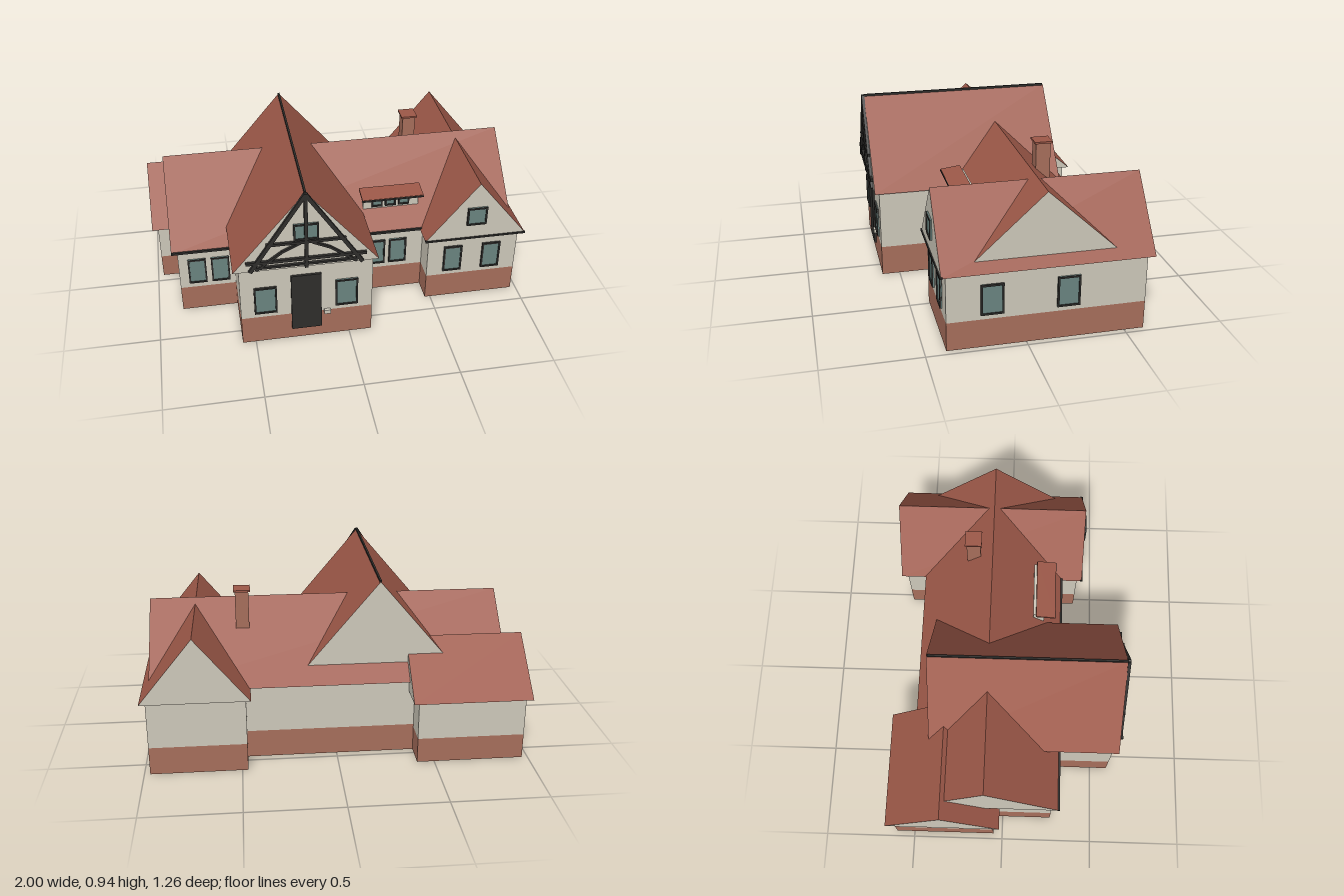
import * as THREE from 'three';

const mat = (color, extra = {}) => new THREE.MeshStandardMaterial({ color, ...extra });
const plaster = mat(0xcdc8ba);
const brick = mat(0xa66e5b);
const tile = mat(0x9c5848);
const timber = mat(0x2e2d2b);
const glass = mat(0x6a8480);

export function createModel() {
  const model = new THREE.Group();

  const add = (parent, name, geometry, material) => {
    const mesh = new THREE.Mesh(geometry, material);
    mesh.name = name;
    parent.add(mesh);
    return mesh;
  };

  // Box given by its limits on each axis
  const box = (parent, name, material, [x0, x1], [y0, y1], [z0, z1]) => {
    const mesh = add(parent, name, new THREE.BoxGeometry(x1 - x0, y1 - y0, z1 - z0), material);
    mesh.position.set((x0 + x1) / 2, (y0 + y1) / 2, (z0 + z1) / 2);
    return mesh;
  };

  // Brick plinth with plaster wall above
  const walls = (name, x, z, plinth, height) => {
    const group = new THREE.Group();
    group.name = name;
    box(group, 'brickPlinth', brick, x, [0, plinth], z);
    box(group, 'plasterWall', plaster, x, [plinth, height], z);
    model.add(group);
  };

  // Gabled roof: plaster gable ends, tiled slopes; the ridge runs along 'x' or 'z'
  const roof = (name, axis, x, z, eave, ridge) => {
    const [span, run] = axis === 'z' ? [x, z] : [z, x];
    const half = (span[1] - span[0]) / 2, length = run[1] - run[0];
    const shape = new THREE.Shape();
    shape.moveTo(-half, 0);
    shape.lineTo(half, 0);
    shape.lineTo(0, ridge - eave);
    shape.closePath();
    const geometry = new THREE.ExtrudeGeometry(shape, { depth: length, bevelEnabled: false });
    geometry.translate(0, 0, -length / 2);
    if (axis === 'x') geometry.rotateY(Math.PI / 2);
    const mesh = add(model, name, geometry, [plaster, tile]);
    mesh.position.set((x[0] + x[1]) / 2, eave, (z[0] + z[1]) / 2);
  };

  walls('mainWalls', [-0.87, 0.94], [-0.46, 0.27], 0.15, 0.41);
  walls('entranceWalls', [-0.57, 0.12], [-0.38, 0.595], 0.165, 0.49);
  walls('rightWingWalls', [0.47, 0.97], [-0.6, 0.395], 0.15, 0.405);
  walls('leftWingWalls', [-0.97, -0.41], [-0.6, -0.05], 0.135, 0.345);

  roof('mainRoof', 'x', [-0.9, 0.96], [-0.49, 0.305], 0.408, 0.773);
  roof('entranceRoof', 'z', [-0.6, 0.145], [-0.405, 0.62], 0.488, 0.932);
  roof('rightWingRoof', 'z', [0.445, 1], [-0.63, 0.42], 0.403, 0.745);
  roof('leftWingRoof', 'x', [-1, -0.38], [-0.63, -0.015], 0.345, 0.6);

  // Dark trim along ridge and front eaves
  box(model, 'entranceRidge', timber, [-0.233, -0.223], [0.925, 0.938], [-0.4, 0.62]);
  box(model, 'leftEaveTrim', timber, [-0.9, -0.57], [0.403, 0.415], [0.296, 0.308]);
  box(model, 'middleEaveTrim', timber, [0.12, 0.47], [0.403, 0.415], [0.296, 0.308]);
  box(model, 'wingEaveTrim', timber, [0.445, 1], [0.4, 0.41], [0.412, 0.426]);

  // Framed window: centre, size and facing
  const windowAt = (name, x, y, z, w, h, turn = 0) => {
    const group = new THREE.Group();
    group.name = name;
    const t = 0.009;
    box(group, 'pane', glass, [-w / 2, w / 2], [-h / 2, h / 2], [-0.004, 0.004]);
    for (const s of [-1, 1]) {
      const fx = s * (w - t) / 2, fy = s * (h - t) / 2;
      box(group, 'frameSide', timber, [fx - t / 2, fx + t / 2], [-h / 2, h / 2], [-0.006, 0.01]);
      box(group, 'frameRail', timber, [-w / 2, w / 2], [fy - t / 2, fy + t / 2], [-0.006, 0.01]);
    }
    group.position.set(x, y, z);
    group.rotation.y = turn;
    model.add(group);
  };

  for (const x of [-0.772, -0.648, 0.21, 0.33]) windowAt('mainWindow', x, 0.26, 0.272, 0.097, 0.155);
  for (const x of [-0.44, -0.017]) windowAt('entranceWindow', x, 0.278, 0.597, 0.118, 0.167);
  for (const x of [0.61, 0.825]) windowAt('wingWindow', x, 0.26, 0.397, 0.102, 0.162);
  for (const z of [0.172, -0.205]) windowAt('sideWindow', 0.972, 0.256, z, 0.114, 0.16, Math.PI / 2);
  windowAt('entranceAtticWindow', -0.228, 0.708, 0.622, 0.125, 0.095);
  windowAt('wingAtticWindow', 0.718, 0.546, 0.422, 0.108, 0.108);

  // Front door and letter box
  box(model, 'frontDoor', timber, [-0.307, -0.15], [0.068, 0.42], [0.585, 0.608]);
  box(model, 'letterBox', plaster, [-0.135, -0.102], [0.15, 0.173], [0.59, 0.612]);

  // Timber framing on the entrance gable
  const frame = new THREE.Group();
  frame.name = 'gableTimbers';
  model.add(frame);
  const beam = (x0, y0, x1, y1, width) => {
    const length = Math.hypot(x1 - x0, y1 - y0);
    const mesh = add(frame, 'beam', new THREE.BoxGeometry(length, width, 0.016), timber);
    mesh.position.set((x0 + x1) / 2, (y0 + y1) / 2, 0.626);
    mesh.rotation.z = Math.atan2(y1 - y0, x1 - x0);
  };
  const cx = -0.228;
  beam(cx, 0.49, cx, 0.93, 0.018);
  beam(cx - 0.305, 0.545, cx + 0.305, 0.545, 0.016);
  beam(cx - 0.26, 0.513, cx + 0.26, 0.513, 0.012);
  beam(cx - 0.2, 0.648, cx + 0.2, 0.648, 0.014);
  for (const s of [-1, 1]) {
    beam(cx, 0.928, cx + s * 0.285, 0.492, 0.02);
    beam(cx + s * 0.255, 0.5, cx + s * 0.12, 0.6, 0.012);
    beam(cx + s * 0.12, 0.6, cx + s * 0.03, 0.643, 0.012);
  }

  // Shed dormer
  box(model, 'dormerBody', plaster, [0.147, 0.453], [0.48, 0.597], [0.14, 0.2]);
  const dormerRoof = box(model, 'dormerRoof', tile, [0.13, 0.465], [0.596, 0.608], [0.155, 0.26]);
  dormerRoof.rotation.x = 0.13;
  box(model, 'dormerTrim', timber, [0.13, 0.465], [0.589, 0.599], [0.252, 0.263]);
  for (const x of [0.222, 0.296, 0.37]) windowAt('dormerWindow', x, 0.552, 0.202, 0.06, 0.066);

  // Chimney with cap
  box(model, 'chimneyStack', brick, [0.44, 0.51], [0.6, 0.845], [-0.235, -0.16]);
  box(model, 'chimneyCap', tile, [0.431, 0.519], [0.843, 0.853], [-0.243, -0.152]);

  return model;
}
